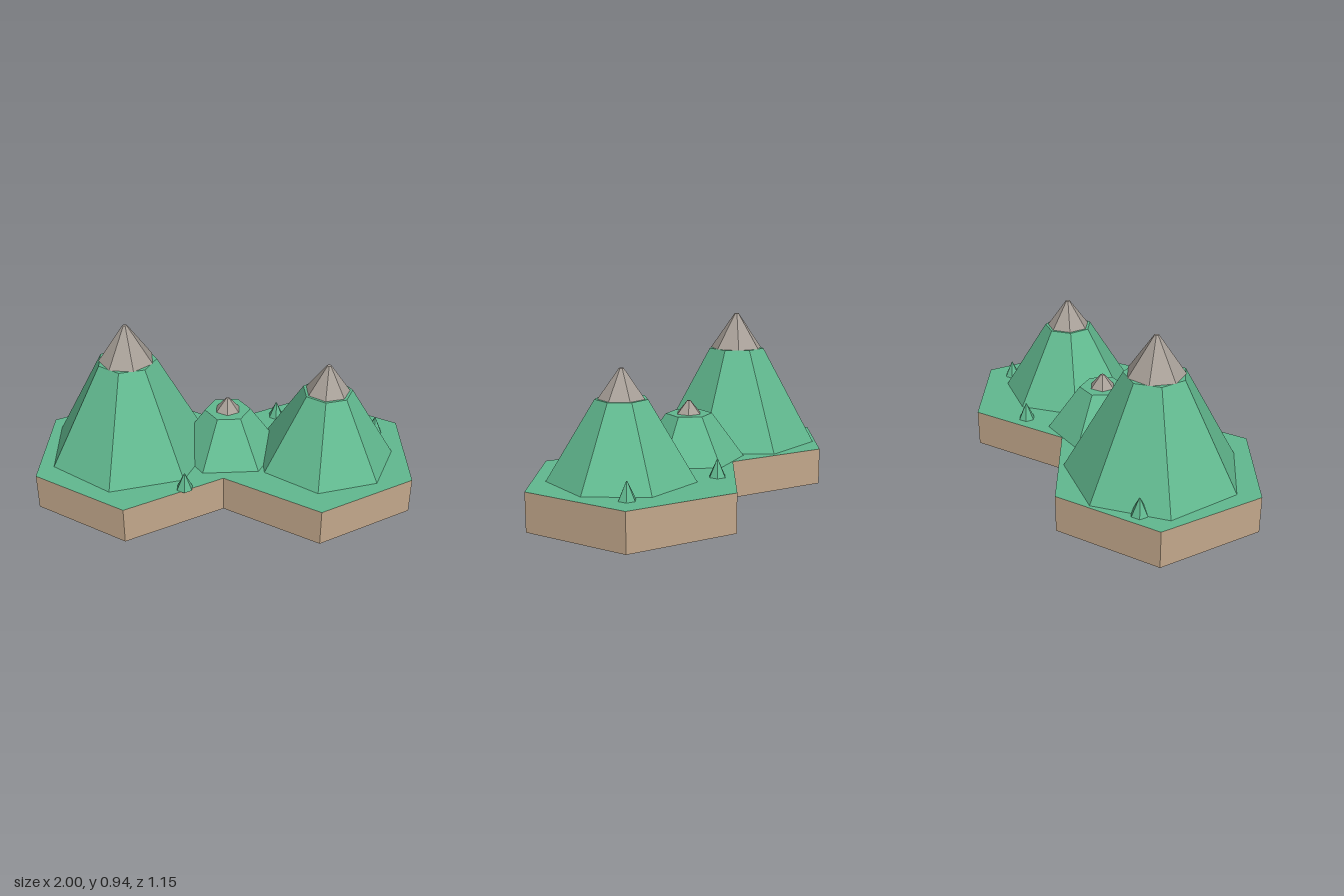
import * as THREE from 'three';

const GREEN = 0x62ba90, BROWN = 0xc4a98c, GREY = 0xa8a098;
const GROUND = 0.2;

function addMesh(parent, name, geometry, color) {
  const material = new THREE.MeshStandardMaterial({ color, flatShading: true });
  const mesh = new THREE.Mesh(geometry, material);
  mesh.name = name;
  parent.add(mesh);
  return mesh;
}

// Faceted frustum standing between heights y0 and y1
function addFrustum(parent, name, color, [x, z], [y0, y1], [r0, r1], sides, phase) {
  const geometry = new THREE.CylinderGeometry(r1, r0, y1 - y0, sides, 1, false, phase);
  addMesh(parent, name, geometry, color).position.set(x, (y0 + y1) / 2, z);
}

// Hexagonal tile: earth walls, grass top, earth underside
function addTile(parent, x) {
  const tile = new THREE.Group();
  tile.name = 'hexTile';
  tile.position.x = x;
  const radius = 1 / Math.sqrt(3);
  const walls = new THREE.CylinderGeometry(radius, radius, GROUND, 6, 1, true);
  addMesh(tile, 'earthWalls', walls, BROWN).position.y = GROUND / 2;
  const disc = () => new THREE.CircleGeometry(radius, 6, Math.PI / 2);
  addMesh(tile, 'grassTop', disc().rotateX(-Math.PI / 2), GREEN).position.y = GROUND;
  addMesh(tile, 'earthUnderside', disc().rotateX(Math.PI / 2), BROWN);
  parent.add(tile);
}

// Green slopes topped by a bare rock peak
function addMountain(parent, m) {
  const mountain = new THREE.Group();
  mountain.name = m.name;
  addFrustum(mountain, 'slopes', GREEN, m.at, [GROUND, m.shoulder], m.radii, m.sides, m.phase);
  addFrustum(mountain, 'rockPeak', GREY, m.at, [m.shoulder, m.top], m.peakRadii, m.sides, m.peakPhase);
  parent.add(mountain);
}

export function createModel() {
  const model = new THREE.Group();
  model.name = 'mountainTiles';

  for (const x of [-0.5, 0.5]) addTile(model, x);

  const mountains = [
    { name: 'tallMountain', at: [-0.52, -0.03], shoulder: 0.74, top: 0.94,
      radii: [0.46, 0.16], peakRadii: [0.15, 0.012], sides: 7, phase: -0.155, peakPhase: 0.35 },
    { name: 'mediumMountain', at: [0.55, 0.04], shoulder: 0.6, top: 0.75,
      radii: [0.382, 0.135], peakRadii: [0.12, 0.012], sides: 7, phase: -0.15, peakPhase: -0.17 },
    { name: 'smallHill', at: [0.018, -0.026], shoulder: 0.44, top: 0.51,
      radii: [0.3, 0.125], peakRadii: [0.07, 0.01], sides: 6, phase: 0.6, peakPhase: 0 },
  ];
  for (const m of mountains) addMountain(model, m);

  // Small conical trees
  for (const at of [[0.3, -0.36], [0.86, -0.2], [-0.2, 0.38], [-0.83, -0.3]]) {
    addFrustum(model, 'tree', GREEN, at, [GROUND, 0.29], [0.045, 0.003], 6, 0);
  }
  return model;
}
